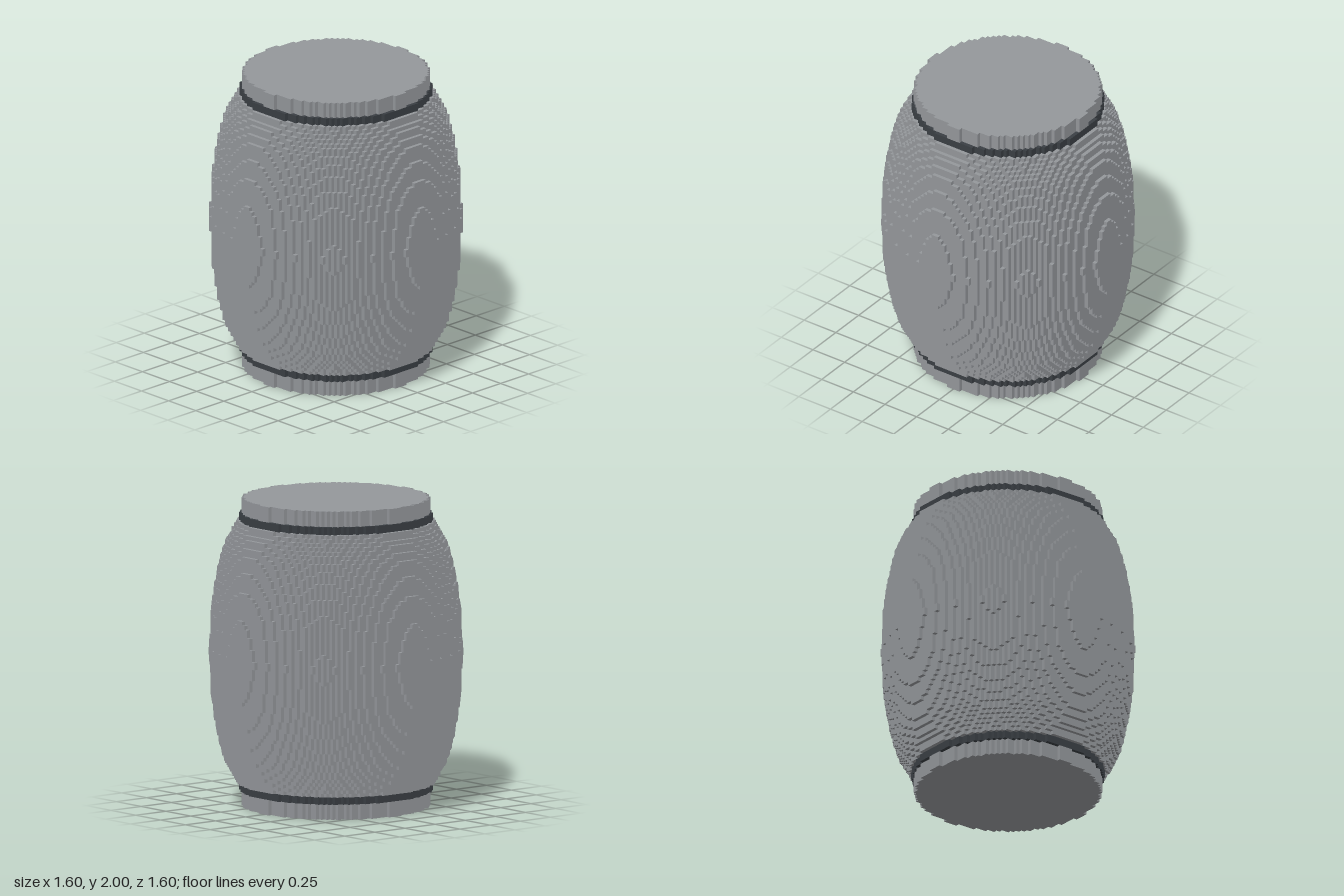
import * as THREE from 'three';

const S = 0.025;          // voxel edge
const ROWS = 80;          // voxel layers from bottom to top
const HALF = 32;          // voxels from axis to widest point

// Barrel bulge: [distance from mid height, radius]
const BULGE = [
  [0, 0.8], [0.275, 0.7876], [0.45, 0.7626], [0.575, 0.7376], [0.675, 0.7126],
  [0.725, 0.6876], [0.775, 0.6626], [0.8125, 0.6376], [0.85, 0.618],
];

function bulgeRadius(d) {
  for (let i = 1; i < BULGE.length; i++) {
    const [d0, r0] = BULGE[i - 1], [d1, r1] = BULGE[i];
    if (d <= d1) return r0 + (r1 - r0) * (d - d0) / (d1 - d0);
  }
  return 0;
}

// Radius of each voxel layer
function layerRadius(row) {
  if (row < 0 || row >= ROWS) return 0;
  const d = Math.abs((row + 0.5) * S - 1);
  if (d > 0.9) return 0.59;      // end caps
  if (d > 0.85) return 0.6075;   // dark bands
  return bulgeRadius(d);
}

// Is the voxel at column x, layer y, column z filled?
function filled([x, y, z]) {
  return Math.hypot(x + 0.5, z + 0.5) * S <= layerRadius(y);
}

// Exposed voxel faces of layers from..to-1
function voxelGeometry(from, to) {
  const positions = [], normals = [];
  const addFace = (cell, axis, sign) => {
    const u = (axis + 1) % 3, v = (axis + 2) % 3;
    const corner = (a, b) => {
      const p = cell.slice();
      if (sign > 0) p[axis] += 1;
      p[u] += a;
      p[v] += b;
      return p.map((c) => c * S);
    };
    const q = [corner(0, 0), corner(1, 0), corner(1, 1), corner(0, 1)];
    if (sign < 0) q.reverse();
    const n = [0, 0, 0];
    n[axis] = sign;
    for (const i of [0, 1, 2, 0, 2, 3]) {
      positions.push(...q[i]);
      normals.push(...n);
    }
  };

  for (let y = from; y < to; y++) {
    for (let x = -HALF; x < HALF; x++) {
      for (let z = -HALF; z < HALF; z++) {
        const cell = [x, y, z];
        if (!filled(cell)) continue;
        for (let axis = 0; axis < 3; axis++) {
          for (const sign of [-1, 1]) {
            const next = cell.slice();
            next[axis] += sign;
            if (!filled(next)) addFace(cell, axis, sign);
          }
        }
      }
    }
  }
  const g = new THREE.BufferGeometry();
  g.setAttribute('position', new THREE.Float32BufferAttribute(positions, 3));
  g.setAttribute('normal', new THREE.Float32BufferAttribute(normals, 3));
  return g;
}

export function createModel() {
  const steel = new THREE.MeshStandardMaterial({ color: 0x94979b });
  steel.name = 'steelGrey';
  const dark = new THREE.MeshStandardMaterial({ color: 0x3a3f44 });
  dark.name = 'darkGrey';

  // Stacked parts: name, first layer, end layer, material
  const parts = [
    ['bottomCap', 0, 4, steel],
    ['bottomBand', 4, 6, dark],
    ['barrelBody', 6, 74, steel],
    ['topBand', 74, 76, dark],
    ['topCap', 76, 80, steel],
  ];

  const group = new THREE.Group();
  group.name = 'barrel';
  for (const [name, from, to, material] of parts) {
    const mesh = new THREE.Mesh(voxelGeometry(from, to), material);
    mesh.name = name;
    group.add(mesh);
  }
  return group;
}
